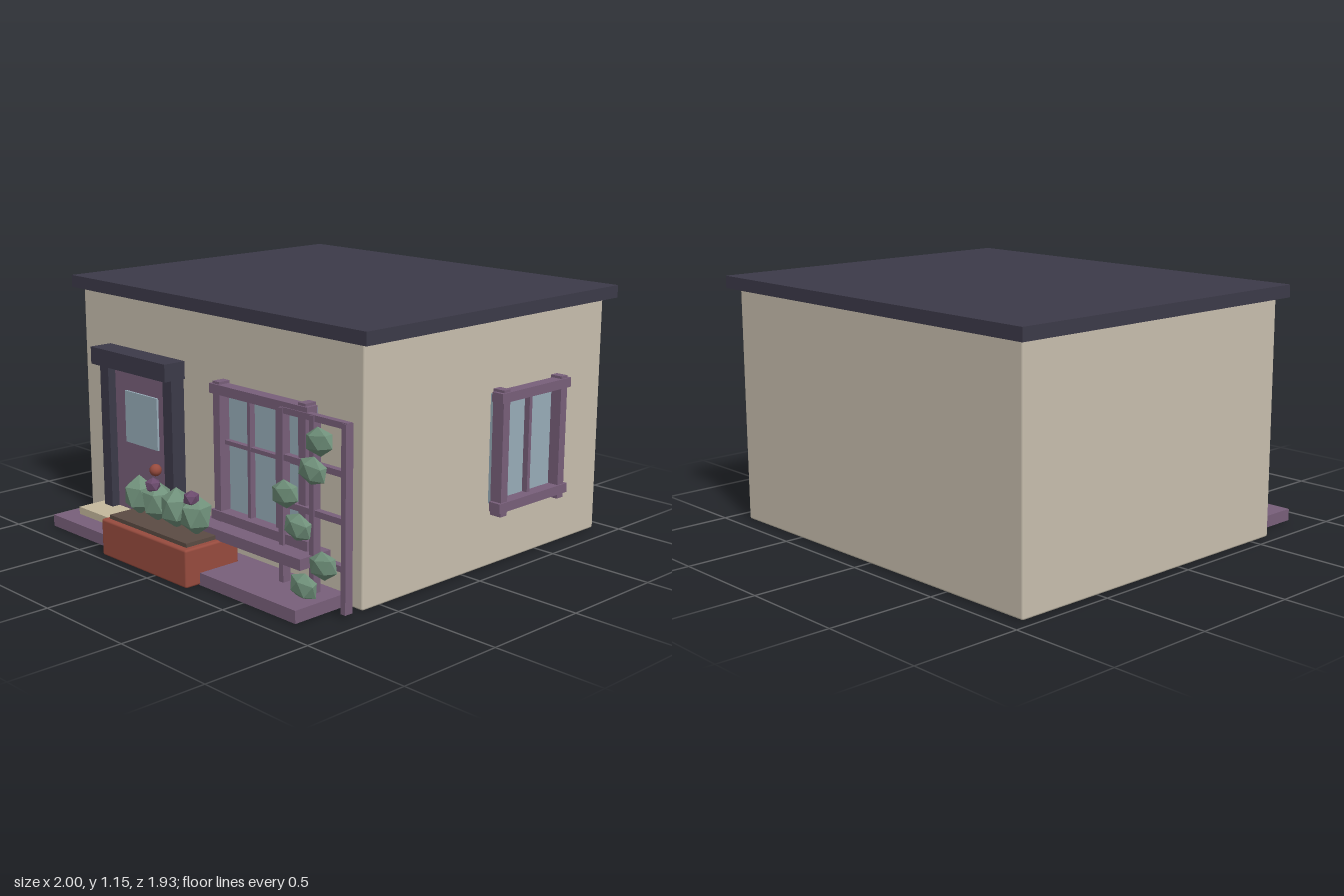
import * as THREE from 'three';
import { RoundedBoxGeometry } from 'three/addons/geometries/RoundedBoxGeometry.js';

const material = (name, color, flatShading = false) => {
  const m = new THREE.MeshStandardMaterial({ color, flatShading });
  m.name = name;
  return m;
};

export function createModel() {
  const model = new THREE.Group();
  model.name = 'cottage';
  const wall = material('wall cream', 0xc8bfae);
  const stone = material('step stone', 0xc4b89c);
  const slate = material('slate', 0x3c3a49);
  const plum = material('plum wood', 0x785f7a);
  const glass = material('glass', 0x98adb9);
  const clay = material('terracotta', 0x974b3e);
  const soil = material('soil', 0x5b4b43);
  const leaf = material('leaf green', 0x70917b, true);
  const bloom = material('bloom purple', 0x6a4a6c, true);

  const add = (parent, name, geometry, mat) => {
    const mesh = new THREE.Mesh(geometry, mat);
    mesh.name = name;
    parent.add(mesh);
    return mesh;
  };
  // Box given by its extents on each axis; r rounds the edges
  const box = (parent, name, mat, [x0, x1], [y0, y1], [z0, z1], r = 0) => {
    const s = [x1 - x0, y1 - y0, z1 - z0];
    const g = r ? new RoundedBoxGeometry(...s, 2, r) : new THREE.BoxGeometry(...s);
    const mesh = add(parent, name, g, mat);
    mesh.position.set((x0 + x1) / 2, (y0 + y1) / 2, (z0 + z1) / 2);
    return mesh;
  };
  const group = (name) => {
    const g = new THREE.Group();
    g.name = name;
    model.add(g);
    return g;
  };

  // House shell
  box(model, 'walls', wall, [-0.955, 0.905], [0.002, 1.097], [-0.925, 0.61], 0.01);
  box(model, 'roof', slate, [-1, 0.95], [1.095, 1.152], [-0.97, 0.645]);
  box(model, 'porchDeck', plum, [-0.865, 0.812], [0, 0.055], [0.6, 0.89]);
  box(model, 'doorStep', stone, [-0.79, -0.17], [0.03, 0.09], [0.6, 0.795]);

  // Door with its surround
  const door = group('door');
  box(door, 'doorPanel', plum, [-0.685, -0.275], [0.09, 0.78], [0.6, 0.64]);
  box(door, 'doorGlass', glass, [-0.6, -0.362], [0.42, 0.663], [0.636, 0.65]);
  for (const x of [-0.715, -0.245])
    box(door, 'doorJamb', slate, [x - 0.031, x + 0.031], [0.085, 0.78], [0.6, 0.68]);
  box(door, 'doorLintel', slate, [-0.755, -0.205], [0.775, 0.855], [0.6, 0.722]);
  add(door, 'doorKnob', new THREE.SphereGeometry(0.028, 14, 10), clay).position.set(-0.36, 0.335, 0.667);

  // Window built facing +z around x = 0, with the wall at z = 0
  const makeWindow = (name, half, y0, y1, bars, crossY) => {
    const w = group(name);
    box(w, 'pane', glass, [-half, half], [y0 + 0.04, y1 - 0.03], [-0.01, 0.035]);
    for (const s of [-1, 1])
      box(w, 'sidePost', plum, [s * half - 0.021, s * half + 0.021], [y0, y1], [0.03, 0.088]);
    for (const y of [y0 + 0.042, y1 - 0.032])
      box(w, 'rail', plum, [-half - 0.037, half + 0.037], [y - 0.021, y + 0.021], [0.037, 0.095]);
    for (const x of bars)
      box(w, 'mullion', plum, [x - 0.009, x + 0.009], [y0 + 0.04, y1 - 0.03], [0.03, 0.062]);
    if (crossY)
      box(w, 'crossBar', plum, [-half, half], [crossY - 0.009, crossY + 0.009], [0.03, 0.06]);
    return w;
  };
  const front = makeWindow('frontWindow', 0.265, 0.2, 0.83, [-0.088, 0.088], 0.565);
  front.position.set(0.381, 0, 0.61);
  box(front, 'windowSill', plum, [-0.34, 0.34], [0.168, 0.216], [-0.01, 0.17]);
  const side = makeWindow('sideWindow', 0.195, 0.25, 0.805, [0], 0);
  side.rotation.y = Math.PI / 2;
  side.position.set(0.905, 0, -0.348);

  // Trellis
  const trellis = group('trellis');
  for (const x of [0.537, 0.718, 0.9])
    box(trellis, 'trellisPost', plum, [x - 0.013, x + 0.013], [0.015, 0.795], [0.675, 0.715]);
  for (const y of [0.2, 0.395, 0.59, 0.785])
    box(trellis, 'trellisSlat', plum, [0.524, 0.913], [y - 0.013, y + 0.013], [0.68, 0.71]);

  // Faceted foliage: an icosahedron with one corner pointing up
  const clump = (() => {
    const g = new THREE.IcosahedronGeometry(1, 0);
    g.rotateZ(Math.atan(2 / (1 + Math.sqrt(5))));
    return g;
  })();
  const foliage = (parent, name, mat, p, s, turn, tilt = 0) => {
    const mesh = add(parent, name, clump.clone().rotateY(turn), mat);
    mesh.position.set(...p);
    mesh.scale.set(...s);
    mesh.rotation.z = tilt;
  };
  const vine = group('climbingVine');
  [[0.808, 0.715], [0.77, 0.59], [0.61, 0.46], [0.685, 0.338], [0.83, 0.212], [0.717, 0.095]].forEach(([x, y], i) =>
    foliage(vine, 'vineLeaf', leaf, [x, y, 0.757], [0.079, 0.06, 0.039], i * 1.3, i % 2 ? -0.15 : 0.15));

  // Planter with open rim
  const planter = group('planter');
  box(planter, 'planterBox', clay, [-0.37, 0.224], [0.002, 0.17], [0.677, 0.965], 0.01);
  box(planter, 'planterSoil', soil, [-0.343, 0.196], [0.15, 0.188], [0.704, 0.938]);
  [-0.275, -0.145, -0.013, 0.12].forEach((x, i) => {
    foliage(planter, 'shrub', leaf, [x, 0.272, 0.822], [0.077, 0.092, 0.073], i * 0.9);
    if (i % 2) foliage(planter, 'flower', bloom, [x, 0.348, 0.845], [0.038, 0.036, 0.038], i);
  });
  return model;
}
